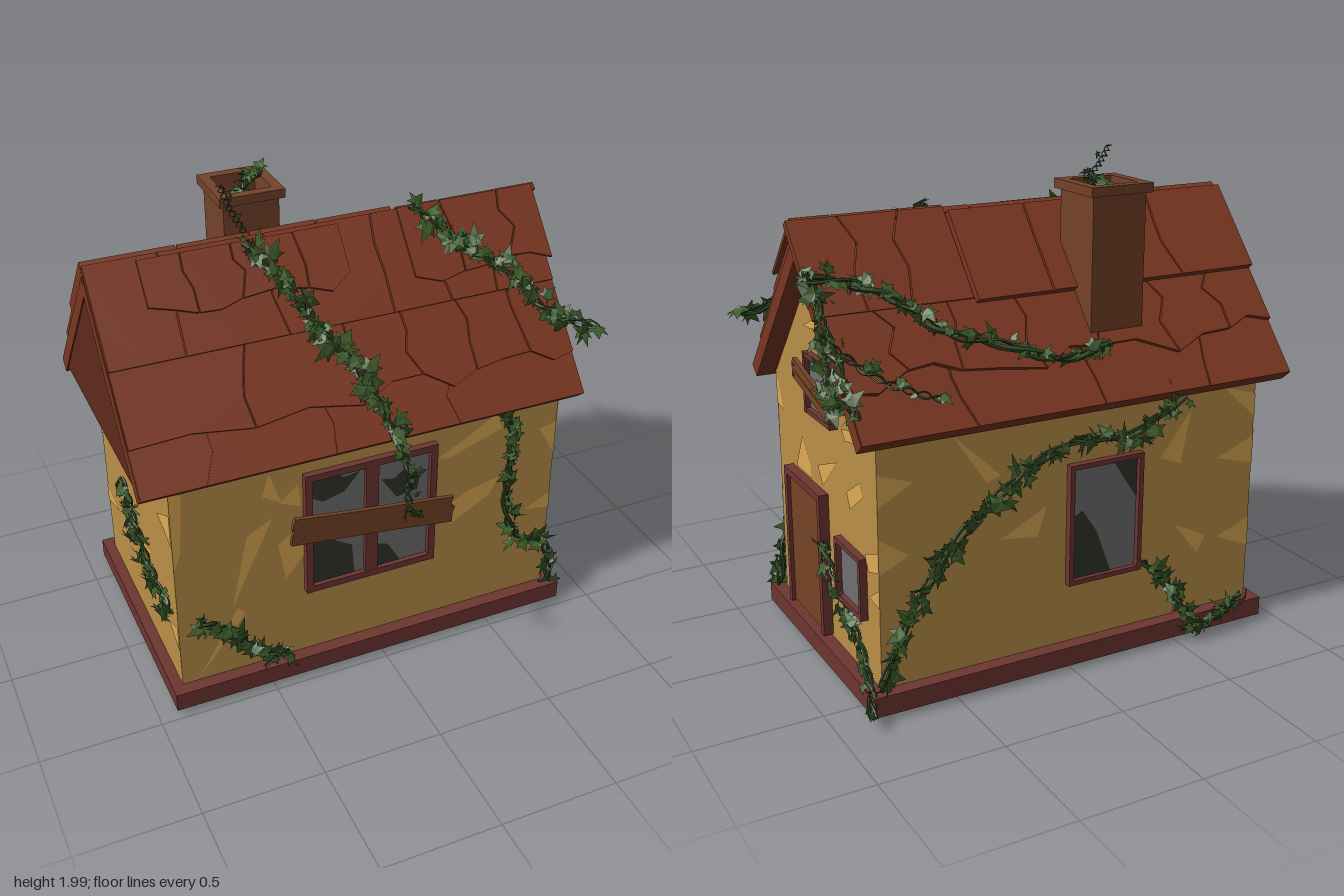
import * as THREE from 'three';
import { mergeGeometries } from 'three/addons/utils/BufferGeometryUtils.js';

const mat = (color, side = THREE.FrontSide) => new THREE.MeshStandardMaterial({ color, side, flatShading: true });
const M = {
  wall: mat(0xbb9049), plaster: mat(0xe0ab54, THREE.DoubleSide), roof: mat(0x7c3722), gable: mat(0x5e2a1c),
  trim: mat(0x6e3631), wood: mat(0x764426), chimney: mat(0x74432a),
  glass: mat(0x707070), hole: mat(0x30342a, THREE.DoubleSide),
  stem: mat(0x2a4420), leaf: mat(0x3c5a2a, THREE.DoubleSide),
};

let seed = 7;
const rnd = () => (seed = (seed * 16807) % 2147483647) / 2147483647;
const jit = a => (rnd() - 0.5) * 2 * a;

function add(parent, geo, material, name, x = 0, y = 0, z = 0) {
  const m = new THREE.Mesh(geo, material);
  m.name = name;
  m.position.set(x, y, z);
  parent.add(m);
  return m;
}
const box = (parent, material, name, x, y, z, w, h, d) =>
  add(parent, new THREE.BoxGeometry(w, h, d), material, name, x, y, z);
const shapeOf = pts => new THREE.Shape(pts.map(p => new THREE.Vector2(p[0], p[1])));
const extrude = (shape, depth) => new THREE.ExtrudeGeometry(shape, { depth, bevelEnabled: false });

function frame(parent, name, x, y, z, ry) {
  const g = new THREE.Group();
  g.name = name;
  g.position.set(x, y, z);
  g.rotation.y = ry;
  parent.add(g);
  return g;
}

// Flat broken-plaster shapes on a wall
const patches = (wall, list) => list.forEach(pts =>
  add(wall, new THREE.ShapeGeometry(shapeOf(pts)), M.plaster, 'brokenPlaster', 0, 0, 0.003));

// Window: four frame bars, optional mullion, glass and dark broken areas
function windowUnit(wall, name, x0, x1, y0, y1, t, mullion, holes) {
  const g = frame(wall, name, (x0 + x1) / 2, (y0 + y1) / 2, 0, 0);
  const w = x1 - x0, h = y1 - y0;
  box(g, M.glass, 'glass', 0, 0, 0.003, w - t, h - t, 0.01);
  for (const s of [-1, 1]) {
    box(g, M.trim, 'frameSide', s * (w - t) / 2, 0, 0.012, t, h, 0.036);
    box(g, M.trim, 'frameRail', 0, s * (h - t) / 2, 0.012, w, t, 0.034);
  }
  if (mullion) box(g, M.trim, 'mullion', 0, 0, 0.012, 0.055, h, 0.032);
  holes.forEach(pts => add(g, new THREE.ShapeGeometry(shapeOf(pts.map(p => [p[0] * w, p[1] * h]))), M.hole, 'brokenGlass', 0, 0, 0.01));
}

function board(wall, x, y, z, len, h, tilt) {
  const pts = [[-len / 2, -h / 2], [len * 0.1, -h * 0.44], [len / 2, -h / 2], [len * 0.49, h * 0.1], [len / 2, h / 2], [-len * 0.2, h * 0.45], [-len * 0.49, h / 2], [-len * 0.5, h * 0.1]];
  const b = add(wall, extrude(shapeOf(pts), 0.018), M.wood, 'board', x, y, z);
  b.rotation.z = tilt;
  for (const s of [-1, 1]) {
    const n = add(b, new THREE.CylinderGeometry(0.007, 0.007, 0.006, 6), M.glass, 'nail', s * len * 0.44, 0, 0.02);
    n.rotation.x = Math.PI / 2;
  }
}

// One row of cracked slabs: seams split it, bottom(x) gives its ragged lower edge
function course(slope, seams, top, bottom, z, depth) {
  const lines = seams.map((x, i) => [0, 0.3, 0.6, 1].map(t => {
    const px = x + (i && i < seams.length - 1 ? jit(0.035) : 0);
    return [px, top + (bottom(px) - top) * t];
  }));
  for (let i = 0; i < lines.length - 1; i++) {
    const a = lines[i].map(p => [p[0] + 0.003, p[1]]);
    const b = lines[i + 1].map(p => [p[0] - 0.003, p[1]]);
    const xm = (a[3][0] + b[3][0]) / 2;
    add(slope, extrude(shapeOf([...a, [xm, bottom(xm)], ...b.reverse()]), depth), M.roof, 'roofSlab', 0, 0, z + jit(0.002));
  }
}

// Ivy leaf, folded along its middle
const half = [[0.12, 0.05], [0.42, -0.08], [0.3, 0.2], [0.5, 0.5], [0.2, 0.48]];
const leafGeo = new THREE.ShapeGeometry(shapeOf([[0, 0], ...half, [0, 1], ...half.map(p => [-p[0], p[1]]).reverse()]));
{
  const p = leafGeo.attributes.position;
  for (let i = 0; i < p.count; i++) p.setZ(i, -0.4 * Math.abs(p.getX(i)) - 0.25 * p.getY(i) ** 2);
  leafGeo.deleteAttribute('uv');
}

// Vine: two entwined stems along a path, with leaves facing outward
function vine(parent, name, pts, out, leaves, size = 0.07, r = 0.009) {
  const g = frame(parent, name, 0, 0, 0, 0);
  const n = new THREE.Vector3(...out).normalize();
  const curve = new THREE.CatmullRomCurve3(pts.map(p => new THREE.Vector3(...p)));
  const side = curve.getTangent(0.5).cross(n).normalize();
  for (const k of [0, 1]) {
    const strand = [];
    for (let i = 0; i <= 24; i++) {
      const a = i * 1.1 + k * Math.PI;
      strand.push(curve.getPointAt(i / 24).addScaledVector(side, Math.cos(a) * 0.013).addScaledVector(n, Math.sin(a) * 0.01));
    }
    add(g, new THREE.TubeGeometry(new THREE.CatmullRomCurve3(strand), 60, r * (1 - 0.35 * k), 5), M.stem, 'stem');
  }
  const o = new THREE.Object3D(), list = [];
  for (let i = 0; i < leaves; i++) {
    const p = curve.getPointAt(Math.min(1, (i + rnd()) / leaves));
    o.position.copy(p).addScaledVector(n, 0.01 + rnd() * 0.025).addScaledVector(side, jit(0.02));
    o.lookAt(o.position.clone().add(n).add(new THREE.Vector3(jit(0.8), jit(0.8), jit(0.8))));
    o.rotateZ(rnd() * 6.28);
    o.scale.setScalar(size * (0.6 + rnd() * 0.7));
    o.updateMatrix();
    list.push(leafGeo.clone().applyMatrix4(o.matrix));
  }
  add(g, mergeGeometries(list), M.leaf, 'leaves');
}

export function createModel() {
  const root = new THREE.Group();
  root.name = 'ruinedCottage';

  // Base and gabled body
  box(root, M.trim, 'base', -0.035, 0.06, -0.085, 1.78, 0.08, 1.12);
  const body = add(root, extrude(shapeOf([[-0.42, 0.1], [0.59, 0.1], [0.59, 1.09], [0.085, 1.68], [-0.42, 1.09]]), 1.68), M.wall, 'walls', -0.88, 0, 0);
  body.rotation.y = Math.PI / 2;

  // Wall frames: local x to the right, z outward
  const front = frame(root, 'frontWall', 0, 0, 0.42, 0);
  const right = frame(root, 'leftHandWall', 0.8, 0, 0, Math.PI / 2);
  const back = frame(root, 'backWall', 0, 0, -0.59, Math.PI);
  const left = frame(root, 'rightHandWall', -0.88, 0, 0, -Math.PI / 2);

  windowUnit(front, 'frontWindow', -0.34, 0.235, 0.415, 0.99, 0.03, true, [
    [[-0.46, 0.46], [-0.46, 0.3], [-0.36, 0.24], [-0.2, 0.28], [-0.08, 0.42], [-0.2, 0.4], [-0.3, 0.46]],
    [[-0.46, -0.46], [-0.12, -0.46], [-0.14, -0.2], [-0.3, -0.1], [-0.46, 0.0]],
    [[0.08, 0.3], [0.18, 0.28], [0.28, 0.36], [0.38, 0.26], [0.36, 0.14], [0.2, 0.12]],
    [[0.06, -0.45], [0.24, -0.45], [0.14, -0.28], [0.06, -0.25]]]);
  board(front, -0.05, 0.745, 0.033, 0.71, 0.055, -0.13);
  board(front, -0.05, 0.685, 0.033, 0.72, 0.075, -0.13);
  windowUnit(right, 'lowerSideWindow', 0.23, 0.48, 0.335, 0.585, 0.02, false, [[[0.2, -0.45], [0.45, -0.45], [0.45, -0.25]]]);
  windowUnit(right, 'gableWindow', -0.03, 0.23, 1.01, 1.255, 0.02, false, [
    [[0.0, -0.45], [0.45, -0.45], [0.45, 0.35], [0.25, 0.1]], [[-0.46, 0.46], [-0.46, 0], [-0.3, 0.45]]]);
  board(right, 0.085, 1.15, 0.03, 0.38, 0.04, -0.25);
  board(right, 0.085, 1.11, 0.03, 0.38, 0.036, -0.25);
  windowUnit(back, 'backWindow', -0.01, 0.325, 0.35, 0.85, 0.02, false, [
    [[-0.46, -0.46], [0.1, -0.46], [-0.1, -0.1], [-0.3, 0.1], [-0.46, 0.05]], [[0.46, 0.47], [0.46, 0.1], [0.1, 0.47]]]);

  // Door
  box(right, M.wood, 'door', -0.0775, 0.4, 0.01, 0.34, 0.57, 0.03);
  for (const s of [-1, 1]) box(right, M.trim, 'doorPost', -0.0775 + s * 0.179, 0.41, 0.018, 0.028, 0.6, 0.045);
  box(right, M.trim, 'doorLintel', -0.0775, 0.695, 0.018, 0.385, 0.03, 0.045);

  patches(front, [
    [[-0.48, 1.03], [-0.43, 0.88], [-0.51, 0.93]], [[-0.58, 0.76], [-0.47, 0.82], [-0.65, 0.43]],
    [[-0.81, 0.11], [-0.63, 0.42], [-0.6, 0.38]], [[-0.45, 0.68], [-0.34, 0.76], [-0.34, 0.6], [-0.42, 0.5]],
    [[-0.88, 1.08], [-0.83, 1.02], [-0.85, 0.76], [-0.88, 0.68]], [[0.25, 0.9], [0.4, 0.98], [0.51, 1.05], [0.54, 0.97], [0.3, 0.89]],
    [[0.24, 0.62], [0.4, 0.7], [0.54, 0.73], [0.5, 0.65], [0.32, 0.55]], [[0.72, 0.92], [0.8, 0.94], [0.8, 0.78]],
    [[-0.44, 0.88], [-0.36, 0.95], [-0.35, 0.84]], [[0.68, 0.52], [0.8, 0.58], [0.8, 0.5]]]);
  patches(right, [
    [[-0.42, 1.09], [-0.34, 0.92], [-0.42, 0.93]], [[-0.22, 0.72], [-0.14, 0.87], [-0.06, 0.78], [-0.05, 0.72]],
    [[0.02, 0.8], [0.23, 0.88], [0.07, 0.73]], [[0.28, 1.03], [0.58, 1.09], [0.55, 1.04], [0.31, 0.99]],
    [[0.31, 0.79], [0.44, 0.87], [0.47, 0.82], [0.34, 0.73]], [[0.47, 0.6], [0.59, 0.65], [0.59, 0.57], [0.5, 0.54]],
    [[-0.42, 0.55], [-0.3, 0.65], [-0.3, 0.6]], [[0.5, 0.44], [0.59, 0.5], [0.59, 0.43]],
    [[-0.08, 1.34], [0.07, 1.41], [0.05, 1.35]], [[0.15, 1.42], [0.22, 1.42], [0.3, 1.18], [0.25, 1.2]],
    [[-0.42, 0.33], [-0.3, 0.37], [-0.32, 0.3]], [[0.1, 0.48], [0.2, 0.42], [0.22, 0.33], [0.12, 0.38]]]);
  patches(back, [
    [[-0.8, 0.95], [-0.66, 0.9], [-0.8, 0.82]], [[-0.8, 0.7], [-0.68, 0.62], [-0.8, 0.56]], [[-0.5, 1.05], [-0.3, 0.86], [-0.36, 0.84]],
    [[-0.3, 0.6], [-0.1, 0.7], [-0.14, 0.58]], [[0.42, 0.8], [0.56, 0.98], [0.52, 0.76]], [[0.7, 0.75], [0.88, 0.82], [0.88, 0.7]],
    [[0.72, 0.4], [0.88, 0.46], [0.88, 0.33]], [[0.5, 0.5], [0.62, 0.35], [0.66, 0.42]], [[0.72, 1.05], [0.88, 1.0], [0.88, 0.9]]]);
  patches(left, [
    [[-0.59, 0.85], [-0.45, 0.8], [-0.59, 0.72]], [[-0.3, 0.95], [-0.1, 0.9], [-0.24, 0.84]], [[-0.59, 0.45], [-0.4, 0.42], [-0.59, 0.36]],
    [[-0.1, 0.5], [0.1, 0.56], [0.05, 0.45]], [[0.25, 0.85], [0.42, 0.95], [0.42, 0.8]], [[0.3, 0.35], [0.42, 0.4], [0.42, 0.28]]]);

  // Roof: two slopes; local y runs up the slope, z outward
  const slopes = ['frontRoof', 'backRoof'].map((name, i) => {
    const g = frame(root, name, 0, 1.78, -0.085, i * Math.PI);
    const s = new THREE.Group();
    s.rotation.x = -0.714;
    g.add(s);
    box(s, M.roof, 'roofDeck', i ? 0.06 : -0.06, -0.475, -0.052, 1.88, 0.84, 0.06);
    return s;
  });
  const wave = (base, amp, k) => x => base + amp * Math.sin(x * k) + amp * 0.5 * Math.sin(x * k * 2.3 + 1);
  course(slopes[0], [-1, -0.68, -0.3, 0.15, 0.4, 0.62, 0.88], 0, () => -0.41, -0.025, 0.028);
  course(slopes[0], [-0.8, -0.64, -0.42, -0.15, 0.02], -0.02, wave(-0.24, 0.03, 14), 0.003, 0.014);
  course(slopes[0], [0.28, 0.5, 0.74, 0.9], -0.0, wave(-0.3, 0.02, 11), 0.0, 0.014);
  course(slopes[0], [-1, -0.5, -0.05, 0.18, 0.43, 0.66, 0.88], -0.41, wave(-0.7, 0.035, 13), -0.025, 0.02);
  course(slopes[0], [-1, -0.72, -0.2, 0.3, 0.88], -0.6, () => -0.895, -0.026, 0.008);
  course(slopes[1], [-0.28, 0.02, 0.3, 0.64, 1], -0.03, () => -0.42, -0.025, 0.055);
  course(slopes[1], [-0.92, -0.7, -0.5, -0.28], 0, () => -0.4, -0.025, 0.032);
  course(slopes[1], [-0.9, -0.66, -0.4, -0.1, 0.2, 0.5, 0.76, 1], -0.4, wave(-0.68, 0.04, 9), -0.025, 0.026);
  course(slopes[1], [-0.88, -0.45, 0.1, 0.62, 1], -0.6, () => -0.895, -0.026, 0.01);
  const gable = add(root, extrude(shapeOf([[-0.46, 1.09], [0.63, 1.09], [0.085, 1.74]]), 0.02), M.gable, 'closedGable', -0.995, 0, 0);
  gable.rotation.y = Math.PI / 2;

  // Hollow chimney with cap
  const ring = (name, w, hole, y, h) => {
    const sq = a => [[-a, -a], [a, -a], [a, a], [-a, a]];
    const s = shapeOf(sq(w / 2));
    s.holes.push(new THREE.Path(sq(hole / 2).reverse().map(p => new THREE.Vector2(...p))));
    add(root, extrude(s, h), M.chimney, name, -0.268, y, -0.365).rotation.x = -Math.PI / 2;
  };
  ring('chimneyStack', 0.235, 0.19, 1.22, 0.63);
  ring('chimneyCap', 0.275, 0.19, 1.845, 0.037);

  // Ivy on the roof; height follows the slope
  const onRoof = (x, z) => [x, 1.815 - Math.abs(z + 0.085) * 1.15, z];
  const F = [0, 0.65, 0.75], B = [0, 0.65, -0.75];
  vine(root, 'ridgeTendril', [[-0.43, 1.98, -0.15], [-0.41, 1.9, -0.11], [-0.37, 1.81, -0.05]], F, 3, 0.03, 0.003);
  vine(root, 'frontRoofIvy', [onRoof(-0.37, -0.05), onRoof(-0.28, 0.06), onRoof(-0.17, 0.2), onRoof(-0.08, 0.32), onRoof(0, 0.47), [0.02, 1.08, 0.54]], F, 65, 0.08);
  vine(root, 'hangingTendril', [[0.02, 1.09, 0.54], [0.03, 1.02, 0.6], [0.01, 0.9, 0.64], [0, 0.89, 0.7], [0, 0.94, 0.76]], [0, 0, 1], 14, 0.05, 0.005);
  vine(root, 'frontRoofCornerIvy', [onRoof(0.34, -0.07), onRoof(0.5, 0.06), onRoof(0.66, 0.15), onRoof(0.8, 0.28), [0.96, 1.33, 0.4]], F, 50, 0.08);
  vine(root, 'backRoofIvy', [onRoof(-0.2, -0.55), onRoof(0.05, -0.56), onRoof(0.25, -0.5), onRoof(0.45, -0.45), onRoof(0.62, -0.34), onRoof(0.8, -0.28), onRoof(0.92, -0.27)], B, 50, 0.065, 0.012);
  vine(root, 'backRoofTendril', [onRoof(0.55, -0.62), onRoof(0.75, -0.55), onRoof(0.93, -0.42)], B, 10, 0.05, 0.005);
  vine(root, 'chimneyIvy', [[-0.3, 1.8, -0.38], [-0.24, 1.87, -0.38], [-0.17, 1.9, -0.4]], [0, 1, 0], 14, 0.07);

  // Ivy on the walls
  vine(root, 'frontWallIvy', [[0.5, 1.09, 0.44], [0.58, 0.95, 0.44], [0.57, 0.65, 0.44], [0.63, 0.41, 0.44], [0.77, 0.34, 0.44], [0.83, 0.1, 0.44]], [0, 0, 1], 48, 0.07);
  vine(root, 'frontCornerIvy', [[-0.8, 0.42, 0.44], [-0.68, 0.34, 0.45], [-0.54, 0.18, 0.44], [-0.42, 0.12, 0.44]], [0, 0, 1], 42, 0.075);
  vine(root, 'rightHandWallIvy', [[-0.9, 0.72, -0.22], [-0.91, 0.64, -0.03], [-0.9, 0.5, 0.12], [-0.9, 0.46, 0.4]], [-1, 0, 0], 45, 0.07);
  vine(root, 'gableIvy', [[0.91, 1.63, -0.26], [0.86, 1.48, -0.25], [0.83, 1.32, -0.24], [0.83, 1.18, -0.27], [0.84, 1.14, -0.34], [0.84, 1.25, -0.36]], [1, 0, 0], 40, 0.075);
  vine(root, 'gableEdgeIvy', [[0.9, 1.58, -0.3], [0.9, 1.45, -0.4], [0.89, 1.3, -0.53], [0.88, 1.18, -0.63]], [1, 0.4, -0.4], 22, 0.07);
  vine(root, 'doorsideIvy', [[0.83, 0.52, -0.12], [0.82, 0.36, -0.24], [0.82, 0.26, -0.4], [0.84, 0.12, -0.58], [0.88, 0.05, -0.7]], [1, 0, 0], 34, 0.065);
  vine(root, 'backWallIvy', [[0.82, 0.12, -0.62], [0.66, 0.44, -0.62], [0.4, 0.74, -0.62], [0, 0.95, -0.62], [-0.25, 0.93, -0.62], [-0.5, 1.06, -0.63]], [0, 0, -1], 75, 0.075);
  vine(root, 'backCornerIvy', [[-0.34, 0.38, -0.61], [-0.46, 0.25, -0.63], [-0.58, 0.07, -0.67], [-0.82, 0.14, -0.64]], [0, 0, -1], 40, 0.07);
  return root;
}
